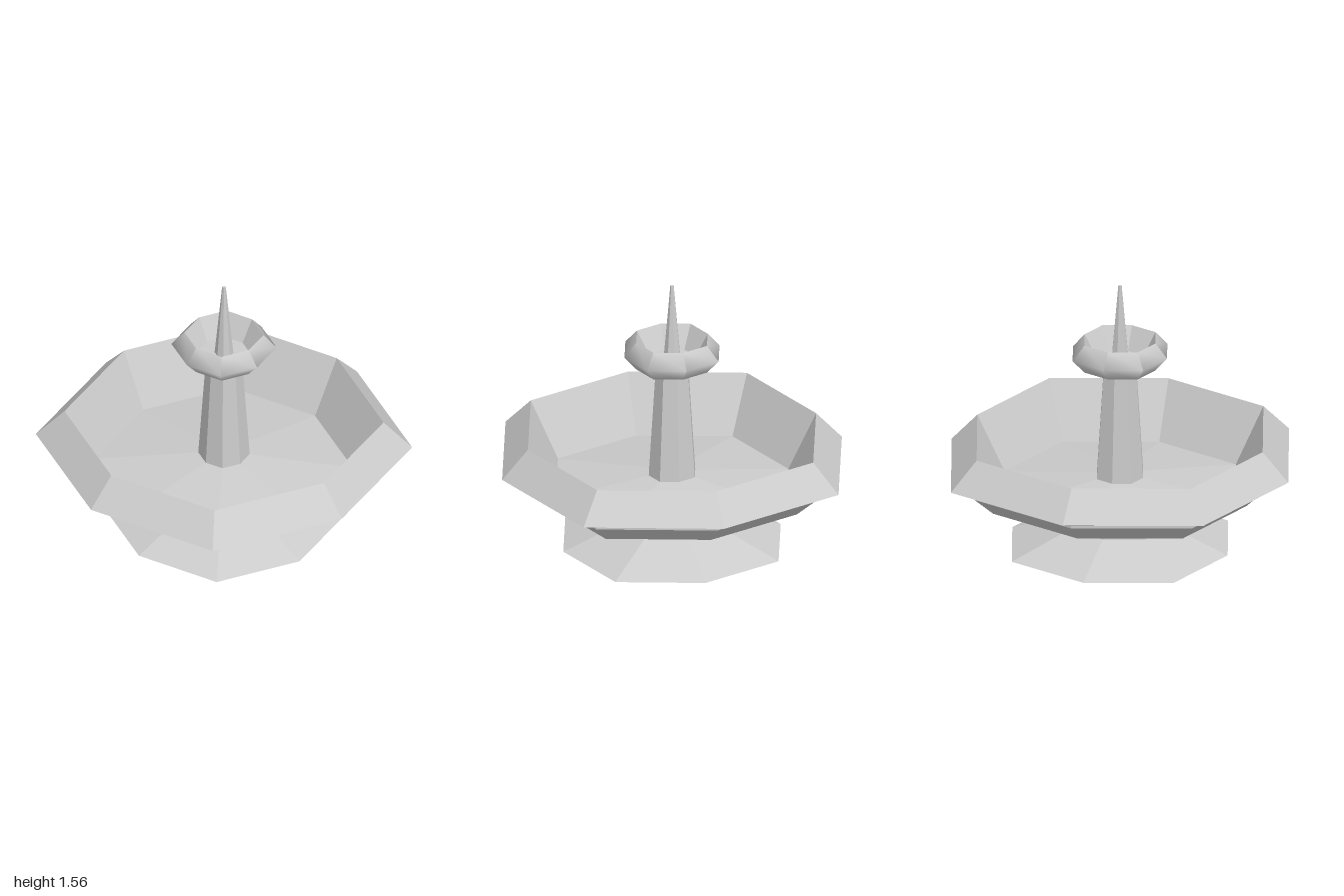
import * as THREE from 'three';
import { mergeGeometries } from 'three/addons/utils/BufferGeometryUtils.js';

const SIDES = 8;
const DIAGONAL = 0.75 * Math.SQRT2; // diagonal corners sit slightly further out

// Sweeps a profile of [radius, height] points around an eight-sided plan.
// Each side has its own vertices, so the corners stay sharp.
function facetedShell(profile) {
  const points = profile.map(([r, y]) => new THREE.Vector2(r, y));
  const step = (Math.PI * 2) / SIDES;
  const panels = [];
  for (let s = 0; s < SIDES; s++) {
    const panel = new THREE.LatheGeometry(points, 1, s * step, step);
    const pos = panel.attributes.position;
    for (let i = 0; i < pos.count; i++) {
      const column = s + Math.floor(i / points.length);
      const k = column % 2 ? DIAGONAL : 1;
      pos.setXYZ(i, pos.getX(i) * k, pos.getY(i), pos.getZ(i) * k);
    }
    panel.computeVertexNormals();
    panels.push(panel);
  }
  return mergeGeometries(panels);
}

export function createModel() {
  const group = new THREE.Group();
  group.name = 'fountain';
  const flat = new THREE.MeshStandardMaterial({ color: 0xcccccc, flatShading: true, side: THREE.DoubleSide });
  const smooth = new THREE.MeshStandardMaterial({ color: 0xcccccc, side: THREE.DoubleSide });

  function add(name, profile, material = flat) {
    const mesh = new THREE.Mesh(facetedShell(profile), material);
    mesh.name = name;
    group.add(mesh);
  }

  // Sloping foot with a closed underside, and the short neck above it
  add('foot', [[0, 0], [0.64, 0], [0.3, 0.13]]);
  add('neck', [[0.3, 0.13], [0.3, 0.18]]);

  // Large basin: underside, overhanging rim, inner wall and rising floor
  add('basin', [
    [0.3, 0.18], [0.75, 0.315], [0.86, 0.42], [0.86, 0.435],
    [1, 0.492], [0.848, 0.658], [0.685, 0.335], [0.137, 0.405],
  ]);

  // Tapering column
  add('column', [[0.137, 0.405], [0.095, 1.07]]);

  // Small upper bowl: rounded outer band, flat underside, hollow inside
  add('upperBowlBand', [[0.21, 1.07], [0.28, 1.152], [0.21, 1.235]], smooth);
  add('upperBowlUnderside', [[0.095, 1.07], [0.21, 1.07]]);
  add('upperBowlInside', [[0.21, 1.235], [0.14, 1.105], [0.05, 1.105]]);

  // Pointed spout
  add('spout', [[0.05, 1.105], [0.01, 1.56], [0, 1.56]]);

  return group;
}
